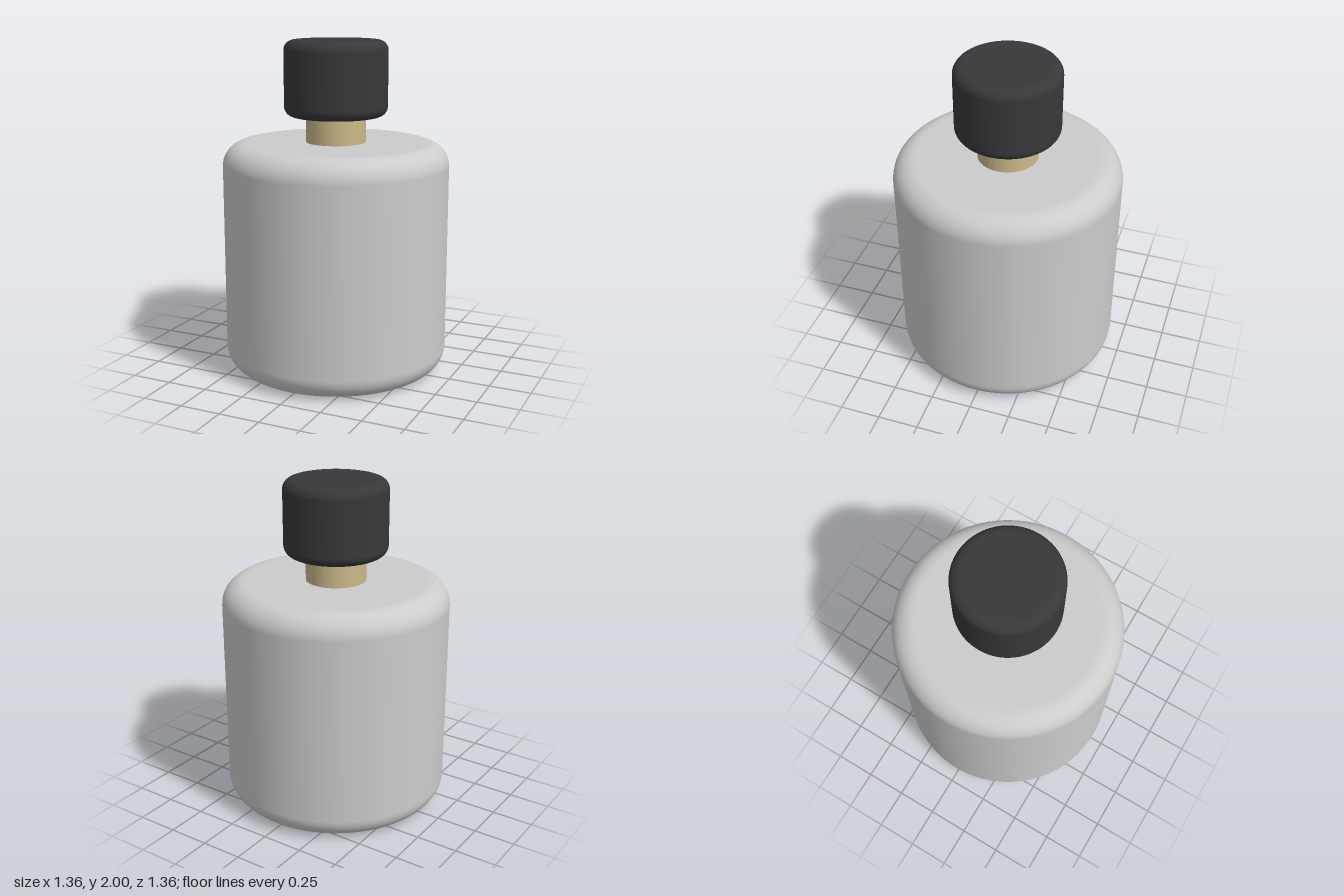
import * as THREE from 'three';

// Solid cylinder with rounded top and bottom rims
function roundedCylinder(radius, bottom, top, fillet) {
  const points = [new THREE.Vector2(0, bottom), new THREE.Vector2((radius - fillet) * 0.98, bottom)];
  const steps = 10;
  const addCorner = (cy, start) => {
    for (let i = 0; i <= steps; i++) {
      const a = start + (i / steps) * Math.PI / 2;
      points.push(new THREE.Vector2(radius - fillet + fillet * Math.cos(a), cy + fillet * Math.sin(a)));
    }
  };
  addCorner(bottom + fillet, -Math.PI / 2);
  addCorner(top - fillet, 0);
  points.push(new THREE.Vector2((radius - fillet) * 0.98, top), new THREE.Vector2(0, top));
  return new THREE.LatheGeometry(points, 96);
}

export function createModel() {
  const group = new THREE.Group();
  const add = (name, geometry, color) => {
    const mesh = new THREE.Mesh(geometry, new THREE.MeshStandardMaterial({ color }));
    mesh.name = name;
    group.add(mesh);
    return mesh;
  };

  // Bottle body
  add('body', roundedCylinder(0.68, 0, 1.395, 0.135), 0xcccccc);

  // Neck, running from the shoulder into the cap
  const neck = add('neck', new THREE.CylinderGeometry(0.18, 0.18, 0.22, 64), 0xcbb98a);
  neck.position.y = 1.48;

  // Cap
  add('cap', roundedCylinder(0.31, 1.55, 2, 0.06), 0x38383b);

  return group;
}
